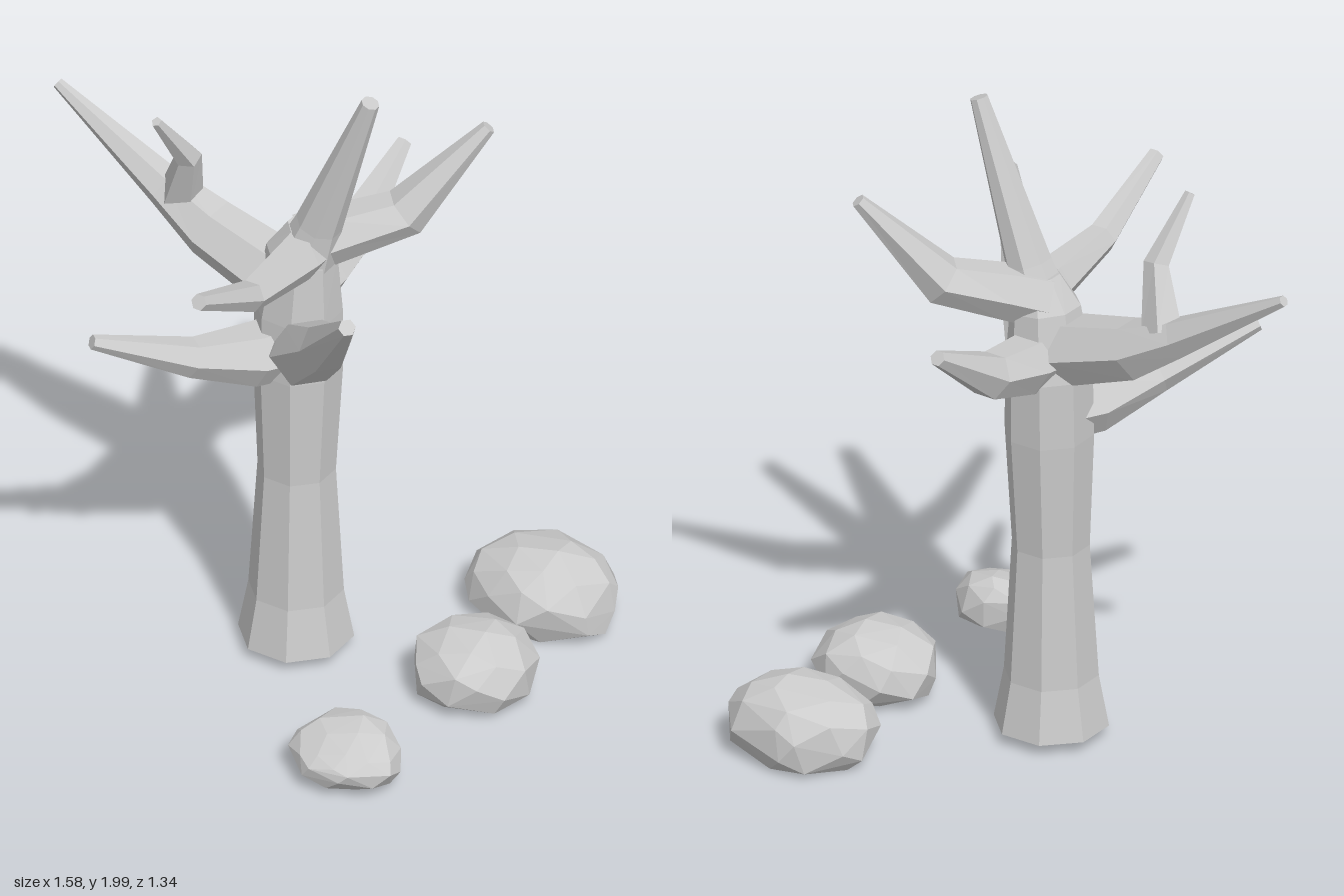
import * as THREE from 'three';
import { ConvexGeometry } from 'three/addons/geometries/ConvexGeometry.js';

const material = new THREE.MeshStandardMaterial({ color: 0xcccccc, flatShading: true, side: THREE.DoubleSide });

// Tapered limb through rings [x, y, z, radius]; ref fixes the ring rotation
function limb(name, rings, sides = 6, ref = new THREE.Vector3(0, 1, 0)) {
  const centres = rings.map(([x, y, z]) => new THREE.Vector3(x, y, z));
  const last = rings.length - 1;
  const positions = [], index = [];
  rings.forEach((ring, i) => {
    const t = centres[Math.min(i + 1, last)].clone().sub(centres[Math.max(i - 1, 0)]).normalize();
    const u = ref.clone().addScaledVector(t, -ref.dot(t)).normalize();
    const v = t.clone().cross(u);
    for (let k = 0; k < sides; k++) {
      const a = ((k + 0.5) / sides) * Math.PI * 2;
      const p = centres[i].clone()
        .addScaledVector(u, ring[3] * Math.cos(a))
        .addScaledVector(v, ring[3] * Math.sin(a));
      positions.push(p.x, p.y, p.z);
    }
  });
  for (let i = 0; i < last; i++) {
    for (let k = 0; k < sides; k++) {
      const a = i * sides + k, b = i * sides + (k + 1) % sides;
      index.push(a, b, b + sides, a, b + sides, a + sides);
    }
  }
  // End caps
  const end = last * sides;
  for (let k = 1; k < sides - 1; k++) {
    index.push(0, k + 1, k, end, end + k, end + k + 1);
  }
  const indexed = new THREE.BufferGeometry();
  indexed.setAttribute('position', new THREE.Float32BufferAttribute(positions, 3));
  indexed.setIndex(index);
  const geometry = indexed.toNonIndexed();
  geometry.computeVertexNormals();
  const mesh = new THREE.Mesh(geometry, material);
  mesh.name = name;
  return mesh;
}

function seeded(seed) {
  return () => {
    seed = (seed * 16807) % 2147483647;
    return seed / 2147483647;
  };
}

// Faceted boulder with a flat base, fitted to the box min..max; slope lowers its +z side
function rock(name, min, max, seed, count, slope = 0) {
  const random = seeded(seed);
  const points = [];
  for (let i = 0; i < count; i++) {
    const h = 1 - (2 * (i + 0.5)) / count;
    const a = i * 2.39996 + random() * 0.4;
    const r = Math.sqrt(1 - h * h) * (0.93 + random() * 0.1);
    let y = Math.max(-0.55, Math.sign(h) * Math.pow(Math.abs(h), 0.9));
    const z = r * Math.sin(a);
    if (y > 0) y *= 1 - slope * (z + 0.4);
    points.push(new THREE.Vector3(r * Math.cos(a), y, z));
  }
  const box = new THREE.Box3().setFromPoints(points);
  const size = box.getSize(new THREE.Vector3());
  const lo = new THREE.Vector3(...min), hi = new THREE.Vector3(...max);
  points.forEach((p) => p.sub(box.min).divide(size).multiply(hi.clone().sub(lo)).add(lo));
  const mesh = new THREE.Mesh(new ConvexGeometry(points), material);
  mesh.name = name;
  return mesh;
}

export function createModel() {
  const group = new THREE.Group();
  const z = new THREE.Vector3(0, 0, 1);
  const x = new THREE.Vector3(1, 0, 0);

  // Trunk: flared foot, narrow waist, closing into the crown
  group.add(limb('trunk', [
    [0.043, 0.04, 0.025, 0.17], [0.043, 0.2, 0.025, 0.14], [0.043, 0.62, 0.022, 0.115],
    [0.045, 0.98, 0.018, 0.132], [0.045, 1.18, 0.015, 0.13], [0.06, 1.38, 0.02, 0.105],
    [0.08, 1.47, 0.02, 0.06],
  ], 8, z));

  // Crown leader and the long side bough with its twig
  group.add(limb('leader', [
    [0.06, 1.33, 0.02, 0.1], [0.12, 1.5, 0.022, 0.07], [0.295, 1.985, 0.022, 0.027],
  ], 8, z));
  group.add(limb('rightBough', [
    [0.08, 1.24, 0.02, 0.105], [-0.02, 1.26, 0.018, 0.108], [-0.26, 1.335, 0.01, 0.092],
    [-0.42, 1.42, 0.006, 0.062], [-0.785, 1.643, 0.005, 0.017],
  ]));
  group.add(limb('twig', [
    [-0.36, 1.42, 0.01, 0.065], [-0.3, 1.6, 0.065, 0.04], [-0.33, 1.785, 0.19, 0.016],
  ], 5, x));

  // Shorter boughs around the crown
  group.add(limb('frontBough', [
    [0.085, 1.4, 0.0, 0.08], [0.095, 1.41, 0.1, 0.072], [0.105, 1.44, 0.37, 0.048],
    [0.11, 1.588, 0.655, 0.025],
  ]));
  group.add(limb('backBough', [
    [0.045, 1.23, 0.02, 0.095], [0.05, 1.24, -0.1, 0.09], [0.055, 1.275, -0.27, 0.072],
    [0.06, 1.438, -0.53, 0.024],
  ]));
  group.add(limb('backLeftBough', [
    [0.06, 1.4, 0.02, 0.09], [0.14, 1.43, -0.05, 0.085], [0.285, 1.48, -0.18, 0.075],
    [0.468, 1.752, -0.342, 0.022],
  ]));
  group.add(limb('frontLeftBough', [
    [0.05, 1.05, 0.03, 0.1], [0.12, 1.09, 0.1, 0.105], [0.28, 1.25, 0.245, 0.075],
    [0.492, 1.525, 0.458, 0.026],
  ]));
  group.add(limb('frontRightBough', [
    [0.03, 1.05, 0.04, 0.1], [-0.03, 1.05, 0.14, 0.095], [-0.135, 1.1, 0.31, 0.06],
    [-0.328, 1.217, 0.54, 0.022],
  ]));

  // Boulders beside the trunk
  group.add(rock('backRock', [0.34, 0.005, -0.67], [0.79, 0.235, -0.285], 11, 48));
  group.add(rock('middleRock', [0.42, 0.02, -0.215], [0.79, 0.22, 0.14], 29, 40));
  group.add(rock('frontRock', [0.365, 0.03, 0.38], [0.705, 0.18, 0.66], 53, 44, 0.5));
  return group;
}
